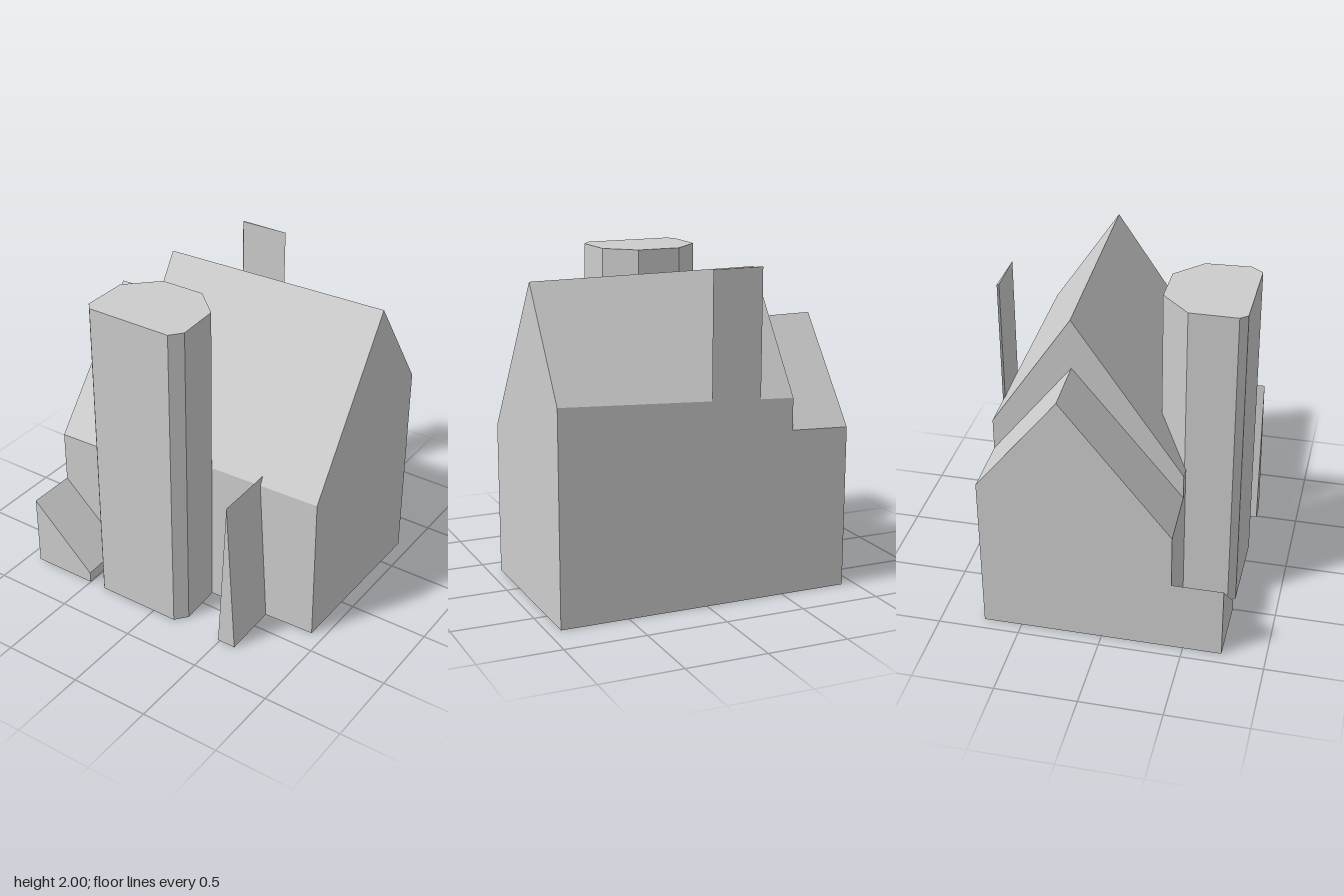
import * as THREE from 'three';

const stone = new THREE.MeshStandardMaterial({ color: 0xcccccc });
stone.name = 'paleGrey';

// Solid between two matching convex outlines, flat shaded, facing outward.
function loft(name, a, b) {
  const tris = [];
  const n = a.length;
  for (let i = 0; i < n; i++) {
    const j = (i + 1) % n;
    tris.push([a[i], a[j], b[j]], [a[i], b[j], b[i]]);
    if (i > 0 && i < n - 1) tris.push([a[0], a[i + 1], a[i]], [b[0], b[i], b[i + 1]]);
  }
  // a negative signed volume means the outline runs the other way round
  const v = (p) => new THREE.Vector3(...p);
  const volume = tris.reduce((s, [p, q, r]) => s + v(p).dot(v(q).cross(v(r))), 0);
  if (volume < 0) tris.forEach((t) => t.reverse());
  const geometry = new THREE.BufferGeometry();
  geometry.setAttribute('position', new THREE.Float32BufferAttribute(tris.flat(2), 3));
  geometry.computeVertexNormals();
  const mesh = new THREE.Mesh(geometry, stone);
  mesh.name = name;
  return mesh;
}

// Upright prism over a ground plan of [x, z] points.
const prism = (name, plan, y0, y1) =>
  loft(name, plan.map(([x, z]) => [x, y0, z]), plan.map(([x, z]) => [x, y1, z]));

// The front wall and ridge run slightly askew; the back wall is straight.
const BACK = -0.735;
const frontZ = (x) => 0.425 - (x + 0.92) * 0.0353;
const ridgeZ = (x) => -0.236 - (x + 0.92) * 0.0375;

// Gable outline whose x is given at the back, ridge and front.
function gable(xBack, xRidge, xFront, ridgeY, slope) {
  const f = frontZ(xFront);
  const yBack = ridgeY - slope * (ridgeZ(xBack) - BACK);
  const yFront = ridgeY - slope * (f - ridgeZ(xFront));
  return [
    [xBack, 0, BACK], [xBack, yBack, BACK], [xRidge, ridgeY, ridgeZ(xRidge)],
    [xFront, yFront, f], [xFront, 0, f],
  ];
}

export function createModel() {
  const model = new THREE.Group();
  model.name = 'gabledHouse';

  // Tall main house and lower side wing, meeting along a slanted party wall
  const join = [-0.55, -0.53, -0.507];
  const end = [0.92, 0.92, 0.92];
  const wingEnd = [-0.92, -0.92, -0.92];
  model.add(loft('mainHouse', gable(...join, 1.93, 1.475), gable(...end, 1.93, 1.475)));
  model.add(loft('sideWing', gable(...wingEnd, 1.62, 1.24), gable(...join, 1.62, 1.24)));

  // Eight-sided tower in front
  model.add(prism('tower', [
    [-0.25, 0.223], [0.025, 0.223], [0.2, 0.385], [0.215, 0.66],
    [0.155, 0.735], [-0.39, 0.735], [-0.43, 0.69], [-0.43, 0.4],
  ], 0, 2));

  // Sloping block in front of the wing
  const wedge = (z, x) => [[-0.92, 0, z], [x, 0, z], [x, 0.07, z], [-0.92, 0.465, z]];
  model.add(loft('slopedBlock', wedge(0.4, -0.516), wedge(0.735, -0.502)));

  // Narrow tent-shaped buttress
  model.add(loft('buttress',
    [[0.474, 0, 0.345], [0.594, 0, 0.345], [0.535, 1, 0.345]],
    [[0.487, 0, 0.735], [0.605, 0, 0.735], [0.545, 1, 0.735]]));

  // Thin tapering chimney slab on the back wall
  model.add(prism('chimneySlab', [[-0.335, BACK], [-0.02, BACK], [-0.325, -0.724]], 1.2, 2));

  return model;
}
